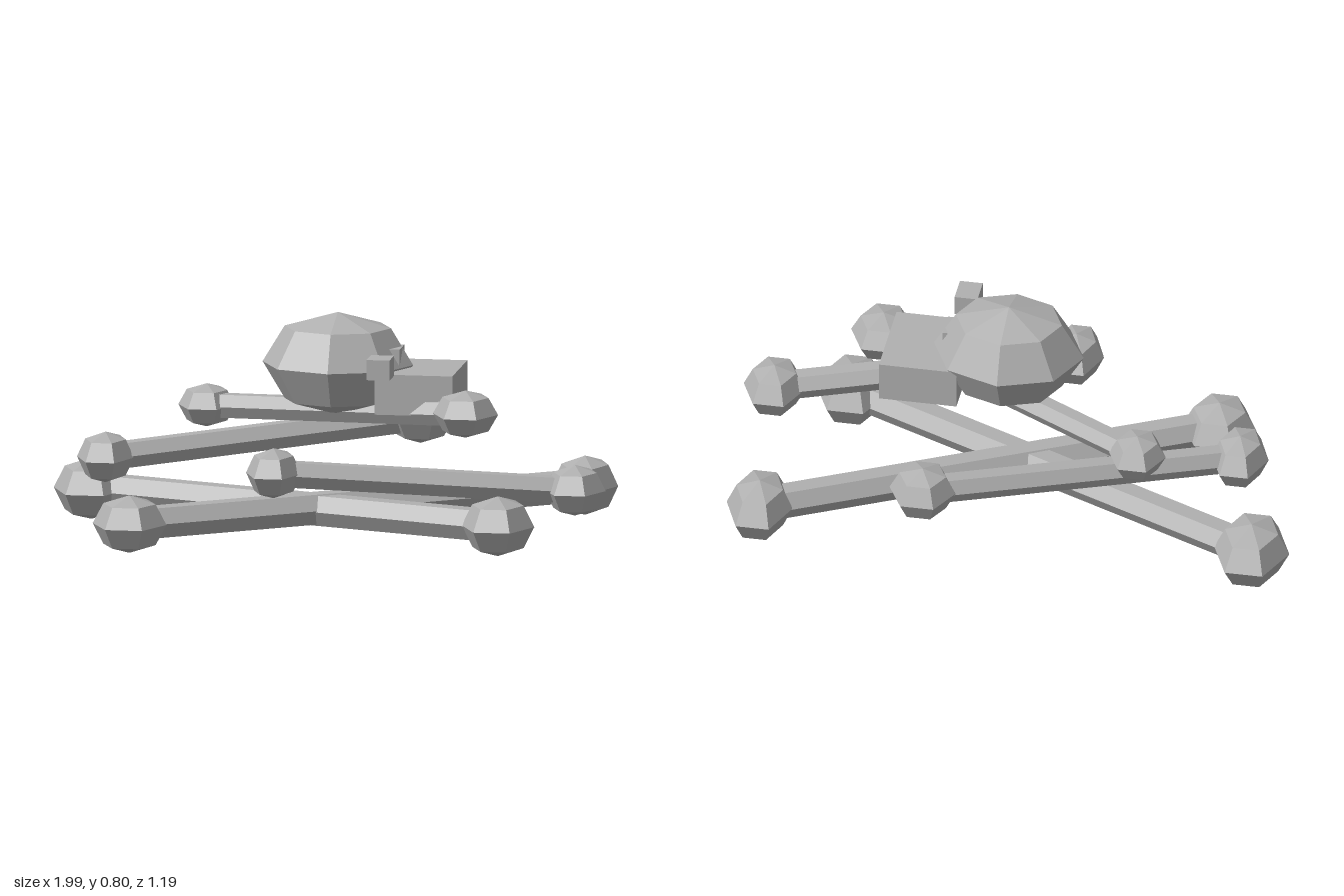
import * as THREE from 'three';

const bone = new THREE.MeshStandardMaterial({ color: 0xb0b0b0, flatShading: true });
bone.name = 'bone grey';

function add(parent, name, geometry, x, y, z) {
  const mesh = new THREE.Mesh(geometry, bone);
  mesh.name = name;
  mesh.position.set(x, y, z);
  parent.add(mesh);
  return mesh;
}

// Squashed six-sided knuckle: half extents rx, ry, rz
function addKnob(parent, [x, y, z, rx, ry, rz]) {
  const geometry = new THREE.SphereGeometry(1, 6, 4);
  geometry.scale(rx, ry, rz / 0.866);
  add(parent, 'knob', geometry, x, y, z);
}

// Six-sided shaft, flat side up, with a knob at each end
function addBone(parent, name, a, b, radius) {
  const group = new THREE.Group();
  group.name = name;
  const start = new THREE.Vector3(a[0], a[1], a[2]);
  const end = new THREE.Vector3(b[0], b[1], b[2]);
  const geometry = new THREE.CylinderGeometry(radius, radius, start.distanceTo(end), 6);
  geometry.rotateY(Math.PI / 2).rotateX(Math.PI / 2);
  const mid = start.clone().add(end).multiplyScalar(0.5);
  const shaft = add(group, 'shaft', geometry, mid.x, mid.y, mid.z);
  shaft.lookAt(end);
  addKnob(group, a);
  addKnob(group, b);
  parent.add(group);
}

export function createModel() {
  const model = new THREE.Group();
  model.name = 'bonePile';

  // Heap of bones, lowest first: each end is x, y, z and the knob's half extents
  addBone(model, 'bottomBone',
    [-0.865, 0.11, -0.289, 0.131, 0.107, 0.152], [0.65, 0.136, 0.375, 0.126, 0.104, 0.14], 0.06);
  addBone(model, 'bottomCrossBone',
    [-0.62, 0.115, 0.416, 0.128, 0.1, 0.131], [0.829, 0.15, -0.39, 0.115, 0.103, 0.142], 0.06);
  addBone(model, 'frontBone',
    [-0.112, 0.315, 0.468, 0.096, 0.087, 0.123], [0.889, 0.237, 0.2, 0.107, 0.088, 0.118], 0.05);
  addBone(model, 'backBone',
    [-0.767, 0.275, 0.019, 0.099, 0.088, 0.123], [0.243, 0.353, -0.49, 0.115, 0.09, 0.11], 0.05);
  addBone(model, 'topBone',
    [-0.457, 0.42, -0.238, 0.099, 0.075, 0.102], [0.513, 0.495, 0.222, 0.113, 0.082, 0.118], 0.046);

  // Skull resting on top, facing sideways
  const skull = new THREE.Group();
  skull.name = 'skull';
  const cranium = new THREE.SphereGeometry(1, 8, 4).scale(0.261, 0.178, 0.224);
  add(skull, 'cranium', cranium, 0.037, 0.622, 0.012);
  add(skull, 'jaw', new THREE.BoxGeometry(0.27, 0.14, 0.325), 0.325, 0.546, 0.015);
  for (const z of [0.25, 0.03]) {
    add(skull, 'eyeBlock', new THREE.BoxGeometry(0.08, 0.07, 0.1), 0.222, 0.652, z);
  }
  model.add(skull);
  return model;
}
